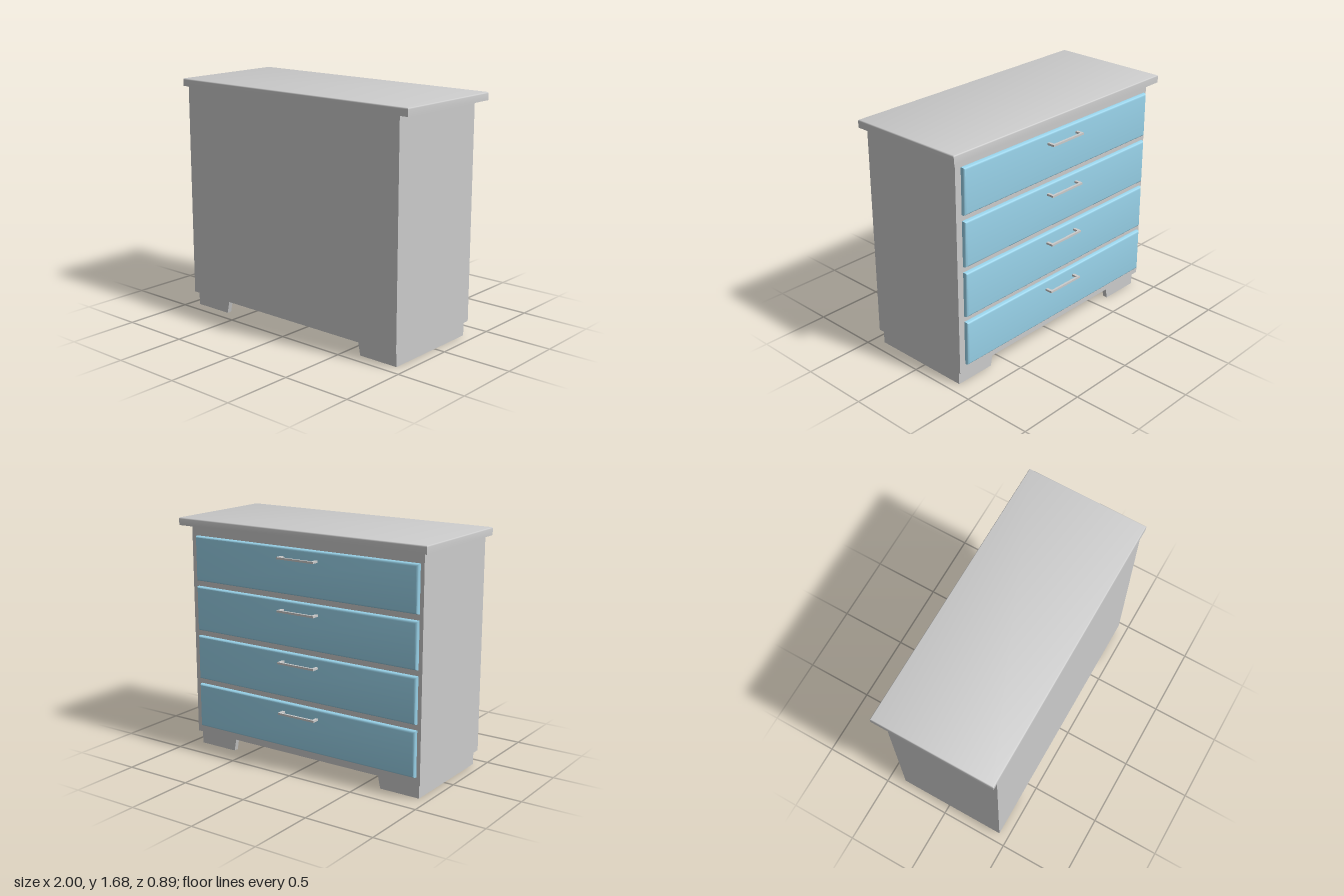
import * as THREE from 'three';
import { toCreasedNormals } from 'three/addons/utils/BufferGeometryUtils.js';

const grey = new THREE.MeshStandardMaterial({ color: 0xcccccc });
const blue = new THREE.MeshStandardMaterial({ color: 0x98d2e9 });

function add(parent, name, geometry, material = grey) {
  const mesh = new THREE.Mesh(geometry, material);
  mesh.name = name;
  parent.add(mesh);
  return mesh;
}

// Box given by its limits on each axis
function boxBetween(x0, x1, y0, y1, z0, z1) {
  return new THREE.BoxGeometry(x1 - x0, y1 - y0, z1 - z0)
    .translate((x0 + x1) / 2, (y0 + y1) / 2, (z0 + z1) / 2);
}

// Slab from z = 0 to z = depth whose edges are rounded on the +z side only
function easedSlab(width, height, depth, radius) {
  const rows = [[0, 0]];
  for (let i = 0; i <= 4; i++) {
    const a = (i / 4) * Math.PI / 2;
    rows.push([radius * (1 - Math.cos(a)), depth - radius + radius * Math.sin(a)]);
  }
  const geometry = new THREE.BoxGeometry(width, height, 1, 1, 1, rows.length - 1);
  const p = geometry.attributes.position;
  for (let i = 0; i < p.count; i++) {
    const [inset, z] = rows[Math.round((p.getZ(i) + 0.5) * (rows.length - 1))];
    p.setXYZ(i, p.getX(i) - Math.sign(p.getX(i)) * inset, p.getY(i) - Math.sign(p.getY(i)) * inset, z);
  }
  return toCreasedNormals(geometry, Math.PI / 5);
}

// C-shaped plinth foot: side panel with a tapered return at each end
function makeFoot(side, outerX, topX, bottomX) {
  const foot = new THREE.Group();
  foot.name = side + 'Foot';
  const t = 0.035, zBack = 0.415, zFront = -0.335, height = 0.1;
  const innerX = outerX - Math.sign(outerX) * t;
  add(foot, side + 'FootPanel', boxBetween(
    Math.min(outerX, innerX), Math.max(outerX, innerX), 0, height, zFront + t, zBack - t));
  const shape = new THREE.Shape([
    new THREE.Vector2(outerX, 0), new THREE.Vector2(bottomX, 0),
    new THREE.Vector2(topX, height), new THREE.Vector2(outerX, height),
  ]);
  for (const z of [zFront, zBack - t]) {
    const geometry = new THREE.ExtrudeGeometry(shape, { depth: t, bevelEnabled: false });
    add(foot, side + 'FootReturn', geometry.translate(0, 0, z));
  }
  return foot;
}

// Bar pull on two posts, reaching out towards -z
function makeHandle() {
  const handle = new THREE.Group();
  handle.name = 'handle';
  const half = 0.15, h = 0.007;
  add(handle, 'handleBar', boxBetween(-half, half, -h, h, -0.055, -0.04));
  for (const s of [-1, 1]) {
    const x = s * (half - 0.01);
    add(handle, 'handlePost', boxBetween(x - 0.01, x + 0.01, -h, h, -0.04, 0));
  }
  return handle;
}

export function createModel() {
  const model = new THREE.Group();
  model.name = 'drawerChest';

  // Carcass and overhanging top
  add(model, 'carcass', boxBetween(-0.95, 0.935, 0.1, 1.63, -0.363, 0.44));
  const top = add(model, 'topBoard', easedSlab(2, 0.87, 0.055, 0.01));
  top.rotation.x = -Math.PI / 2;
  top.position.set(0, 1.63, 0.01);

  // Feet
  model.add(makeFoot('right', -0.93, -0.61, -0.632));
  model.add(makeFoot('left', 0.92, 0.6, 0.62));

  // Four drawers with handles
  for (let i = 0; i < 4; i++) {
    const drawer = new THREE.Group();
    drawer.name = 'drawer' + (i + 1);
    drawer.position.set(-0.018, 0.316 + i * 0.361, -0.363);
    const front = add(drawer, 'drawerFront', easedSlab(1.81, 0.32, 0.029, 0.017), blue);
    front.rotation.y = Math.PI;
    const handle = makeHandle();
    handle.position.set(0, 0.092, -0.029);
    drawer.add(handle);
    model.add(drawer);
  }
  return model;
}
